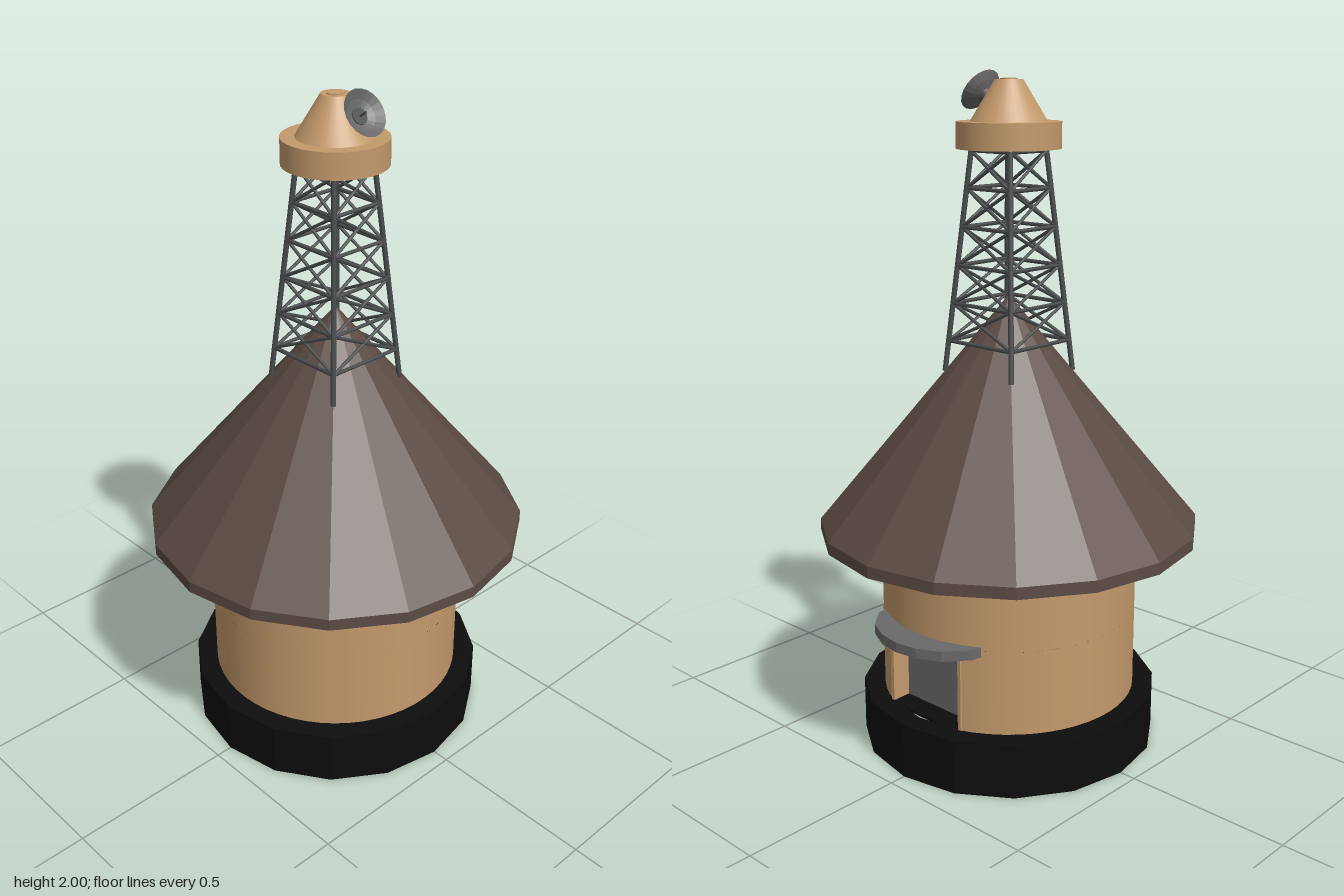
import * as THREE from 'three';

const mat = (name, color, flat = false) => {
  const m = new THREE.MeshStandardMaterial({ color, side: THREE.DoubleSide, flatShading: flat });
  m.name = name;
  return m;
};

export function createModel() {
  const model = new THREE.Group();
  const tan = mat('tan plaster', 0xc49a6c);
  const brown = mat('brown roofing', 0x5c4b44, true);
  const black = mat('black footing', 0x0d0d0d, true);
  const steel = mat('dark steel', 0x4a4d4f);
  const grey = mat('grey metal', 0x696969, true);

  const add = (name, geo, material, x = 0, y = 0, z = 0, parent = model) => {
    const m = new THREE.Mesh(geo, material);
    m.name = name;
    m.position.set(x, y, z);
    parent.add(m);
    return m;
  };
  const lathe = (pts, seg) => new THREE.LatheGeometry(pts.map(p => new THREE.Vector2(...p)), seg);

  // Footing ring, open in the middle
  add('footing', lathe([[0.385, 0], [0.45, 0], [0.45, 0.165], [0.385, 0.165], [0.385, 0]], 16), black);

  // Round wall with a doorway at the back
  const R = 0.385, doorTop = 0.42, half = 0.361;
  add('lowerWall', new THREE.CylinderGeometry(R, R, doorTop - 0.165, 48, 1, true,
    Math.PI + half, Math.PI * 2 - half * 2), tan, 0, (doorTop + 0.165) / 2);
  add('upperWall', new THREE.CylinderGeometry(R, R, 0.48, 48, 1, true), tan, 0, doorTop + 0.24);

  // Doorway
  for (const s of [-1, 1]) {
    add('doorJamb', new THREE.BoxGeometry(0.012, doorTop - 0.165, 0.07), tan, s * 0.141, (doorTop + 0.165) / 2, -0.325);
  }
  add('door', new THREE.BoxGeometry(0.28, doorTop - 0.165, 0.01), grey, 0, (doorTop + 0.165) / 2, -0.295);
  add('doorSill', new THREE.BoxGeometry(0.27, 0.008, 0.075), black, 0, 0.161, -0.33);

  // Canopy bent around the wall above the door
  const outline = [[-0.2, 0.325], [-0.195, 0.36], [-0.14, 0.425], [-0.07, 0.46], [0, 0.47],
    [0.07, 0.46], [0.14, 0.425], [0.195, 0.36], [0.2, 0.325], [0.136, 0.355], [0, 0.38], [-0.136, 0.355]];
  const canopy = new THREE.ExtrudeGeometry(new THREE.Shape(outline.map(p => new THREE.Vector2(...p))),
    { depth: 0.03, bevelEnabled: false });
  canopy.rotateX(-Math.PI / 2);
  add('doorCanopy', canopy, grey, 0, 0.402, 0);

  // Hollow conical roof with a short upright rim
  add('roof', lathe([[0.568, 0.655], [0.568, 0.69], [0, 1.37]], 16), brown);

  // Lattice tower
  const tower = new THREE.Group();
  tower.name = 'tower';
  model.add(tower);
  const rod = (name, a, b, r) => {
    const d = b.clone().sub(a);
    const m = add(name, new THREE.CylinderGeometry(r, r, d.length(), 6), steel, 0, 0, 0, tower);
    m.position.copy(a).add(b).multiplyScalar(0.5);
    m.quaternion.setFromUnitVectors(new THREE.Vector3(0, 1, 0), d.normalize());
  };
  const corner = (i, y) => {
    const w = 0.132 - (y - 1.15) * 0.09;
    return new THREE.Vector3(i % 4 === 0 || i % 4 === 3 ? w : -w, y, i % 4 < 2 ? w : -w);
  };
  const levels = [1.235, 1.345, 1.455, 1.565, 1.675, 1.78];
  for (let i = 0; i < 4; i++) {
    rod('towerLeg', corner(i, 1.145), corner(i, 1.79), 0.008);
    levels.forEach((y, k) => {
      rod('towerRail', corner(i, y), corner(i + 1, y), 0.006);
      if (k === levels.length - 1) return;
      rod('towerBrace', corner(i, y), corner(i + 1, levels[k + 1]), 0.005);
      rod('towerBrace', corner(i + 1, y), corner(i, levels[k + 1]), 0.005);
    });
  }

  // Drum and cone on top of the tower
  add('drum', new THREE.CylinderGeometry(0.15, 0.15, 0.075, 32), tan, 0, 1.823);
  add('drumCone', new THREE.CylinderGeometry(0.04, 0.11, 0.115, 32), tan, 0, 1.9175);
  add('coneTip', new THREE.CylinderGeometry(0.025, 0.025, 0.004, 24), tan, 0, 1.976);

  // Tilted dish facing the left side
  const dish = new THREE.Group();
  dish.name = 'dish';
  dish.position.set(0.112, 1.945, 0);
  dish.rotation.z = -0.97;
  model.add(dish);
  add('dishBowl', lathe([[0, -0.03], [0.02, -0.027], [0.045, -0.016], [0.067, 0]], 20), grey, 0, 0, 0, dish);
  add('dishHub', new THREE.CylinderGeometry(0.024, 0.018, 0.03, 12), steel, 0, -0.037, 0, dish);
  add('dishFeed', new THREE.CylinderGeometry(0.003, 0.003, 0.035, 6), steel, 0, -0.012, 0, dish);
  const arm = add('dishArm', new THREE.CylinderGeometry(0.012, 0.012, 0.05, 8), steel, 0.06, 1.922, 0);
  arm.rotation.z = Math.PI / 2;

  return model;
}
